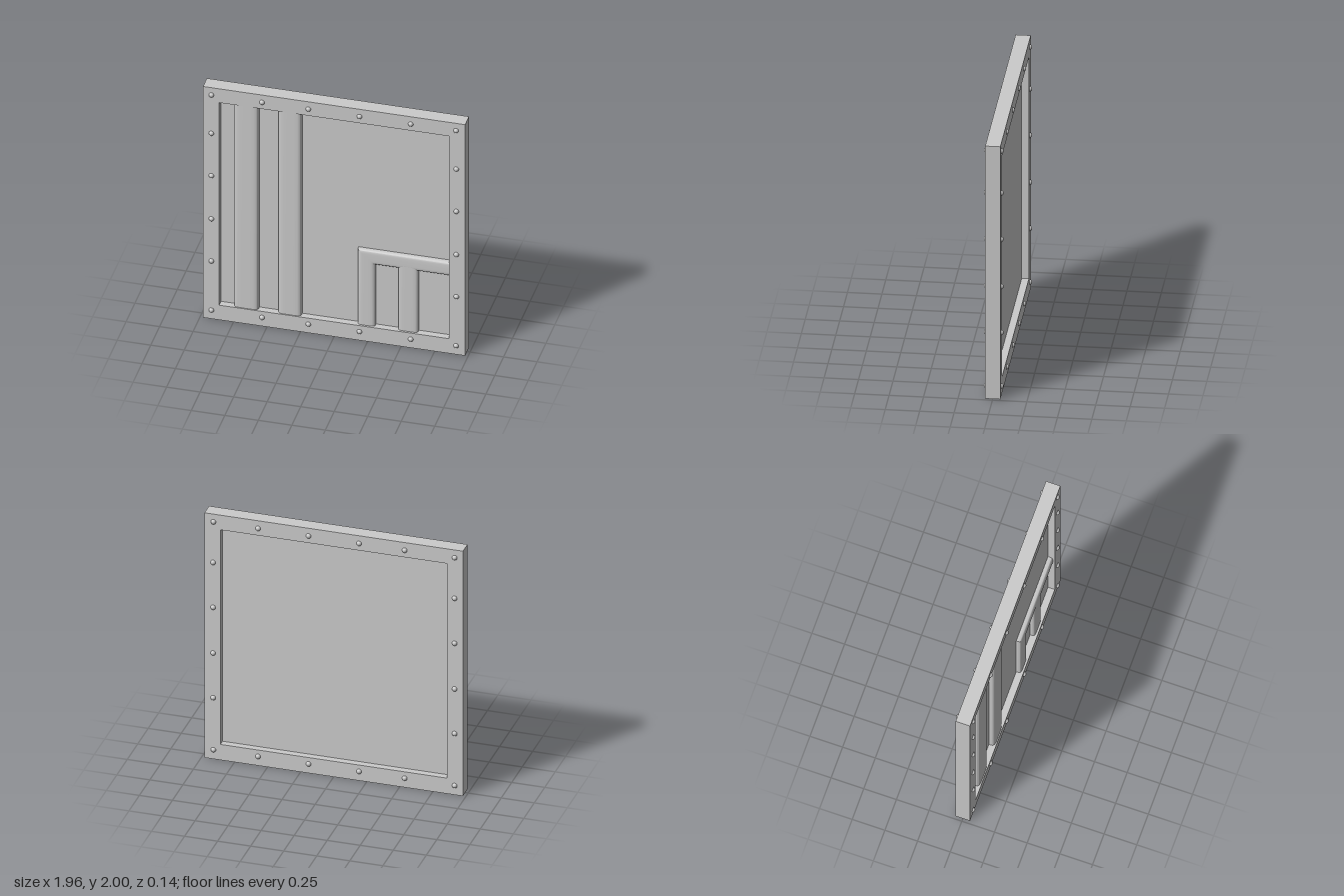
import * as THREE from 'three';
import { toCreasedNormals } from 'three/addons/utils/BufferGeometryUtils.js';

const material = new THREE.MeshStandardMaterial({ color: 0xcccccc });
const openMaterial = new THREE.MeshStandardMaterial({ color: 0xcccccc, side: THREE.DoubleSide });

const OUT = { x: 0.9775, y0: 0, y1: 2 };
const IN = { x: 0.857, y0: 0.127, y1: 1.88 };
const HALF_DEPTH = 0.055;

function add(parent, name, geometry, mat = material) {
  const mesh = new THREE.Mesh(geometry, mat);
  mesh.name = name;
  parent.add(mesh);
  return mesh;
}

function rectangle(PathType, { x, y0, y1 }) {
  const path = new PathType();
  path.moveTo(-x, y0).lineTo(x, y0).lineTo(x, y1).lineTo(-x, y1).closePath();
  return path;
}

// Raised duct with a rounded-box section. Each row maps u (-1..1 across) to [x, y].
function duct(rows, height) {
  const segments = 28;
  const positions = [];
  const index = [];
  rows.forEach((row, i) => {
    for (let j = 0; j <= segments; j++) {
      const a = Math.PI * (1 - j / segments);
      const c = Math.cos(a);
      const u = Math.sign(c) * Math.abs(c) ** 0.4;
      const z = height * Math.max(0, Math.sin(a)) ** 0.4;
      positions.push(...row(u), z);
      if (i > 0 && j < segments) {
        const p = (i - 1) * (segments + 1) + j;
        const q = p + segments + 1;
        index.push(p, p + 1, q + 1, p, q + 1, q);
      }
    }
  });
  const geometry = new THREE.BufferGeometry();
  geometry.setAttribute('position', new THREE.Float32BufferAttribute(positions, 3));
  geometry.setIndex(index);
  return toCreasedNormals(geometry, 0.6);
}

// Vertical duct between two x edges
function uprightDuct(x0, x1, y0, y1, height) {
  const at = (y) => (u) => [(x0 + x1) / 2 + (u * (x1 - x0)) / 2, y];
  return duct([at(y0), at(y1)], height);
}

export function createModel() {
  const model = new THREE.Group();
  model.name = 'wallPanel';

  // Square frame with an open middle
  const shape = rectangle(THREE.Shape, OUT);
  shape.holes.push(rectangle(THREE.Path, IN));
  const frame = new THREE.ExtrudeGeometry(shape, { depth: 2 * HALF_DEPTH, bevelEnabled: false });
  frame.translate(0, 0, -HALF_DEPTH);
  add(model, 'frame', frame);

  // Thin sheet filling the frame
  const sheet = new THREE.BoxGeometry(2 * IN.x, IN.y1 - IN.y0, 0.006);
  sheet.translate(0, (IN.y0 + IN.y1) / 2, 0);
  add(model, 'sheet', sheet);

  // Two tall ducts
  add(model, 'tallDuctOuter', uprightDuct(-0.752, -0.57, IN.y0, IN.y1, 0.047), openMaterial);
  add(model, 'tallDuctInner', uprightDuct(-0.422, -0.25, IN.y0, IN.y1, 0.047), openMaterial);

  // Low duct: rises, turns a mitred corner and runs into the frame
  const legX = (u) => 0.235 + 0.065 * u;
  const armY = (u) => 0.716 - 0.058 * u;
  add(model, 'cornerDuct', duct([
    (u) => [legX(u), IN.y0],
    (u) => [legX(u), armY(u)],
    (u) => [IN.x, armY(u)],
  ], 0.04), openMaterial);
  add(model, 'branchDuct', uprightDuct(0.47, 0.62, IN.y0, 0.716, 0.0395), openMaterial);

  // Rivets around the frame on both faces
  const rivets = new THREE.Group();
  rivets.name = 'rivets';
  model.add(rivets);
  const spots = [];
  for (const x of [-0.915, -0.537, -0.192, 0.19, 0.572, 0.91]) spots.push([x, 1.937], [x, 0.075]);
  for (const y of [0.5, 0.865, 1.238, 1.605]) spots.push([-0.915, y], [0.912, y]);
  const rivet = new THREE.SphereGeometry(0.02, 16, 12);
  for (const [x, y] of spots) {
    for (const side of [1, -1]) add(rivets, 'rivet', rivet).position.set(x, y, side * 0.052);
  }

  return model;
}
